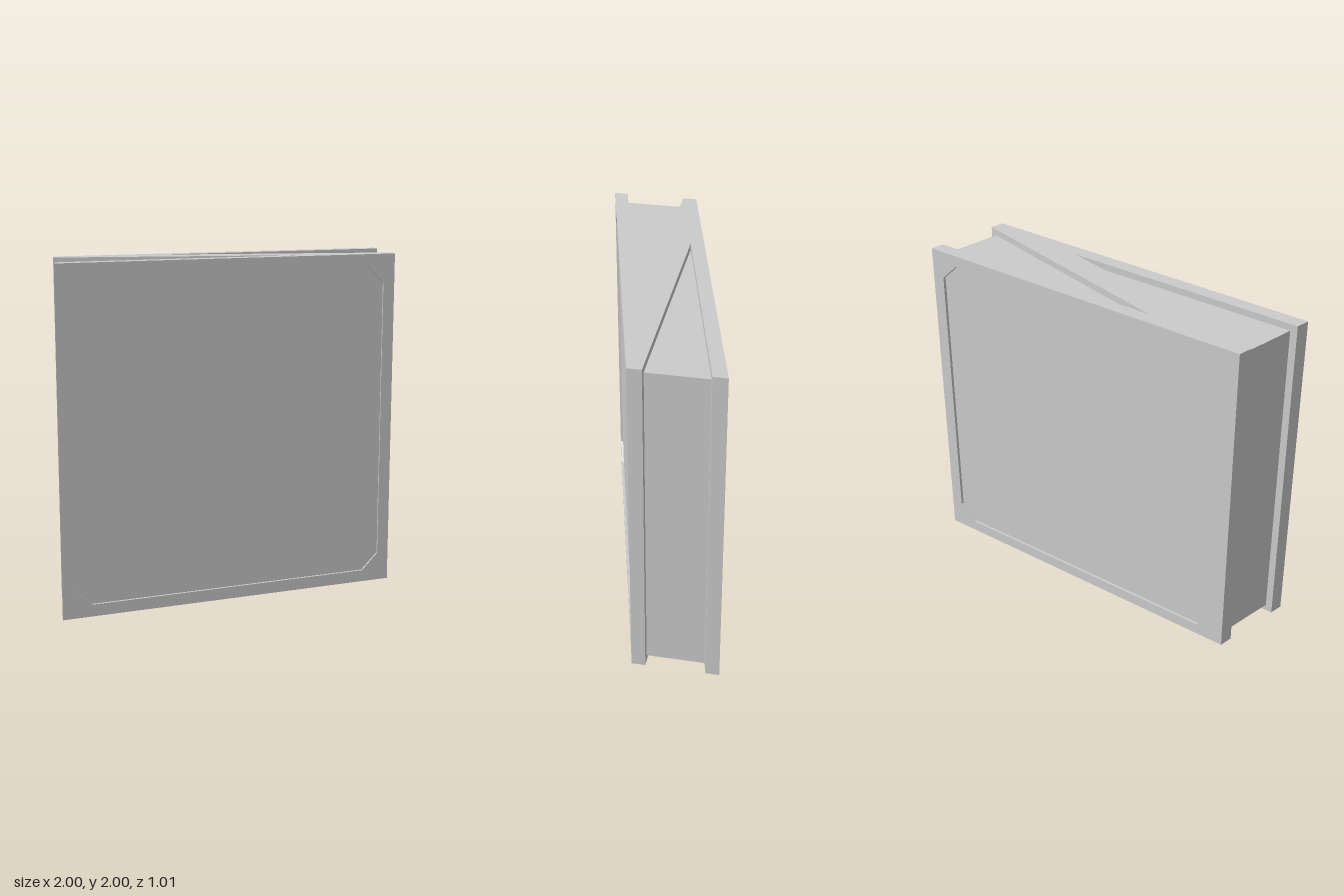
import * as THREE from 'three';

const SLOPE = 0.25;   // the big faces run diagonally in plan
const RECESS = 0.015; // depth of the sunken panels
const FACE = 0.24;    // z of the panel floor at x = 0
const material = new THREE.MeshStandardMaterial({ color: 0xcccccc, flatShading: true });

const toShape = (pts) => new THREE.Shape(pts.map(([x, y]) => new THREE.Vector2(x, y)));

// Upright prism from a plan outline given as [x, z]
function prism(name, plan, y0, y1) {
  const geo = new THREE.ExtrudeGeometry(toShape(plan.map(([x, z]) => [x, -z])), { depth: y1 - y0, bevelEnabled: false });
  geo.rotateX(-Math.PI / 2).translate(0, y0, 0);
  const mesh = new THREE.Mesh(geo, material);
  mesh.name = name;
  return mesh;
}

// Square rim with a chamfered opening, sheared to follow the diagonal face
function faceRim(name) {
  const shape = toShape([[-1, 0], [1, 0], [1, 2], [-1, 2]]);
  const a = 0.93, c = 0.83;
  const opening = [[a, c], [c, a], [-c, a], [-a, c], [-a, -c], [-c, -a], [c, -a], [a, -c]];
  shape.holes.push(new THREE.Path(opening.map(([x, y]) => new THREE.Vector2(x, y + 1))));
  const geo = new THREE.ExtrudeGeometry(shape, { depth: RECESS, bevelEnabled: false });
  const p = geo.attributes.position;
  for (let i = 0; i < p.count; i++) p.setZ(i, p.getZ(i) + FACE - SLOPE * p.getX(i));
  geo.computeVertexNormals();
  const mesh = new THREE.Mesh(geo, material);
  mesh.name = name;
  return mesh;
}

export function createModel() {
  const group = new THREE.Group();
  group.name = 'slantedBlock';

  // Z-shaped shell: two outer plates joined by a diagonal web; half the outline, then its half turn
  const half = [
    [-1, SLOPE - FACE], [1, -SLOPE - FACE], [1, -0.425],
    [-0.4, -0.075], [1, -0.075],
  ];
  const outline = [...half, ...half.map(([x, z]) => [-x, -z])];
  group.add(prism('shell', outline, 0, 2));

  // Each side: a raised rim around the panel and a recessed wedge core between the plates
  const wedge = [[-0.4, -0.075], [0.96, -0.415], [0.96, -0.075]];
  [['front', 'right', 0], ['back', 'left', Math.PI]].forEach(([face, end, turn]) => {
    const rim = faceRim(face + 'Rim');
    const core = prism(end === 'right' ? 'leftCore' : 'rightCore', wedge, 0.04, 1.96);
    rim.rotation.y = core.rotation.y = turn;
    group.add(rim, core);
  });
  return group;
}
